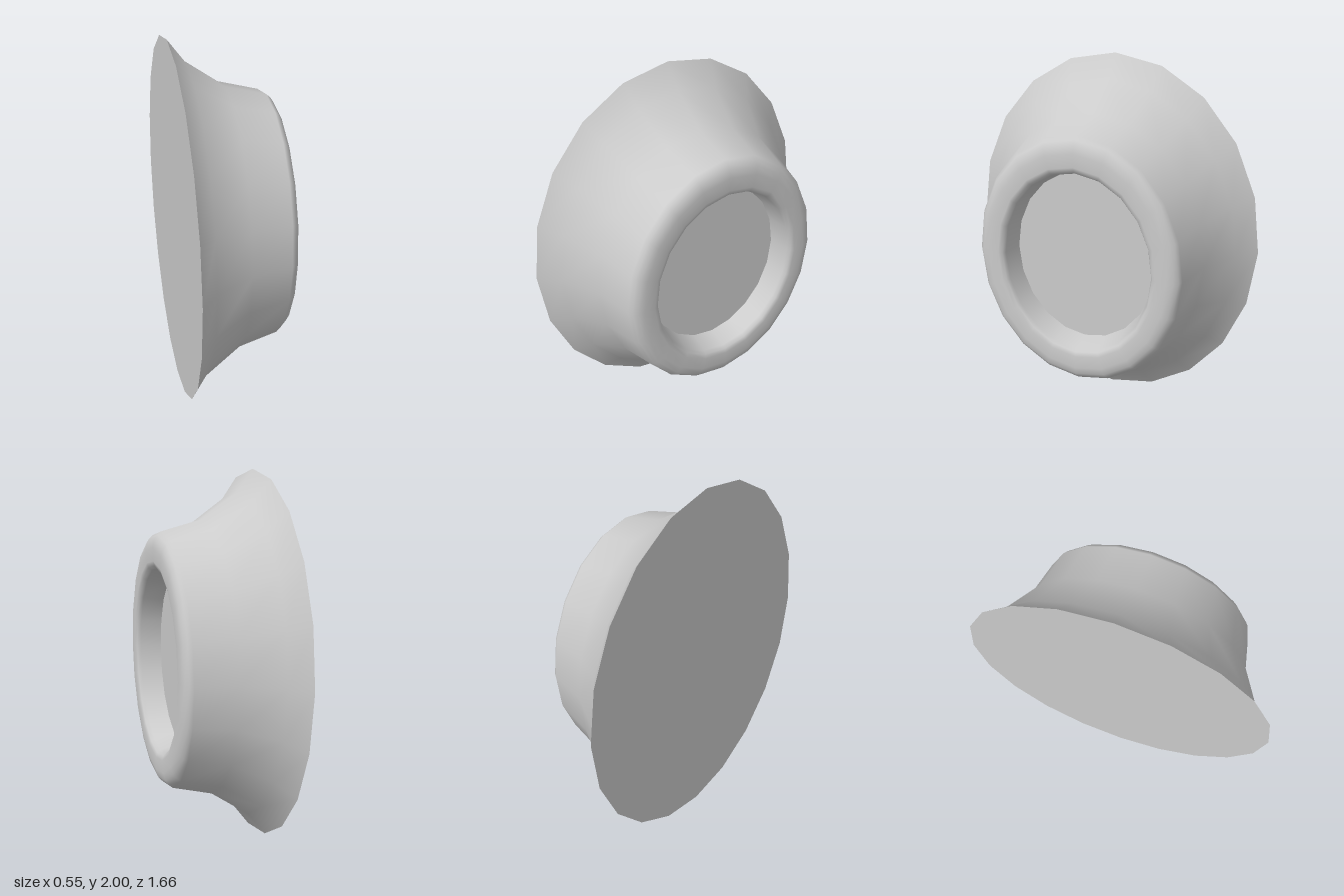
import * as THREE from 'three';

const SIDES = 20;
const OVAL = 0.83; // depth to height ratio of every ring

// Oval turned part lying along +x; profile points are [half height, x]
function ovalPart(name, profile) {
  const geometry = new THREE.LatheGeometry(profile.map(([r, x]) => new THREE.Vector2(r, x)), SIDES);
  geometry.scale(1, 1, OVAL);
  geometry.rotateZ(-Math.PI / 2);
  geometry.translate(0, 1, 0);
  const mesh = new THREE.Mesh(geometry, new THREE.MeshStandardMaterial({ color: 0xcccccc }));
  mesh.name = name;
  return mesh;
}

export function createModel() {
  const group = new THREE.Group();
  group.name = 'ovalFlaredMount';

  // Flared skirt, rounded rim and the wall of the recess
  group.add(ovalPart('flaredBody', [
    [1.0, -0.275], [0.88, -0.185], [0.743, 0.012], [0.687, 0.225],
    [0.67, 0.245], [0.645, 0.262], [0.605, 0.27],
    [0.535, 0.27], [0.51, 0.262], [0.497, 0.242], [0.472, 0.13],
  ]));

  // Flat floor of the recess
  group.add(ovalPart('recessFloor', [[0.472, 0.13], [0, 0.13]]));

  // Flat back
  group.add(ovalPart('backPlate', [[0, -0.275], [1.0, -0.275]]));

  return group;
}
